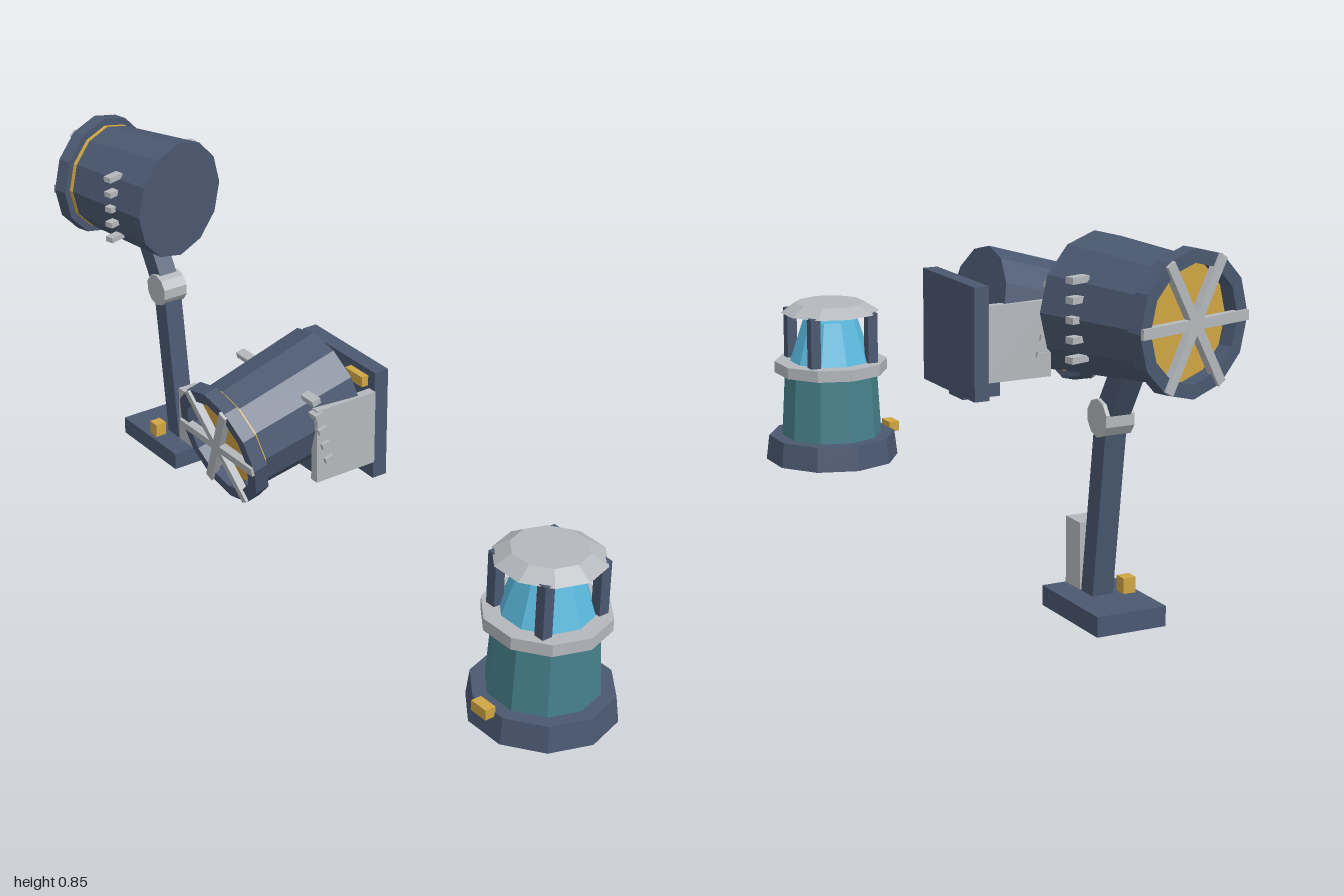
import * as THREE from 'three';

const mat = (color) => new THREE.MeshStandardMaterial({ color, flatShading: true });
const DARK = mat(0x4a5870), GREY = mat(0xb4b8bc), GOLD = mat(0xd0a544);
const TEAL = mat(0x46808a), GLASS = mat(0x5ab8dc);

function add(parent, name, geometry, material, x = 0, y = 0, z = 0) {
  const mesh = new THREE.Mesh(geometry, material);
  mesh.name = name;
  mesh.position.set(x, y, z);
  parent.add(mesh);
  return mesh;
}

function box(parent, name, material, w, h, d, x, y, z) {
  return add(parent, name, new THREE.BoxGeometry(w, h, d), material, x, y, z);
}

// Square ring around the y axis, from y0 to y1
function ringGeometry(inner, outer, y0, y1, sides) {
  const points = [[inner, y0], [outer, y0], [outer, y1], [inner, y1], [inner, y0]];
  return new THREE.LatheGeometry(points.map(([r, y]) => new THREE.Vector2(r, y)), sides);
}

// Lamp head: axis along z, front face at z = 0, 12-sided
function lampHead(rFront, rBack, rRing, length) {
  const head = new THREE.Group();
  head.name = 'lampHead';
  const ringDepth = 0.035, lensDepth = 0.01;
  const drumLength = length - ringDepth - lensDepth;
  add(head, 'drum', new THREE.CylinderGeometry(rFront, rBack, drumLength, 12).rotateX(Math.PI / 2),
    DARK, 0, 0, -length + drumLength / 2);
  add(head, 'lens', new THREE.CylinderGeometry(rFront + 0.001, rFront + 0.001, lensDepth, 12).rotateX(Math.PI / 2),
    GOLD, 0, 0, -ringDepth - lensDepth / 2);
  add(head, 'frontRing', ringGeometry(rRing - 0.03, rRing, -ringDepth, 0, 12).rotateX(Math.PI / 2), DARK);
  // Three crossing guard bars
  for (let i = 0; i < 3; i++) {
    const bar = box(head, 'guardBar', GREY, rRing * 1.96, 0.022, 0.018, 0, 0, -0.002);
    bar.rotation.z = i * Math.PI / 3;
  }
  // Vent slats on both sides
  for (const side of [-1, 1]) {
    for (let i = -2; i <= 2; i++) {
      box(head, 'ventSlat', GREY, 0.045, 0.014, 0.022, side * (rBack - 0.013), i * 0.041, -0.193);
    }
  }
  return head;
}

// Straight square arm between two points in the xy plane
function arm(parent, name, x0, y0, x1, y1, z, width) {
  const length = Math.hypot(x1 - x0, y1 - y0);
  const mesh = box(parent, name, DARK, width, length, 0.05, (x0 + x1) / 2, (y0 + y1) / 2, z);
  mesh.rotation.z = -Math.atan2(x1 - x0, y1 - y0);
}

function standLamp() {
  const lamp = new THREE.Group();
  lamp.name = 'standLamp';
  const z = -0.122;
  box(lamp, 'basePlate', DARK, 0.245, 0.045, 0.166, -0.667, 0.0225, z);
  arm(lamp, 'lowerArm', -0.638, 0.04, -0.693, 0.445, z, 0.05);
  arm(lamp, 'upperArm', -0.693, 0.445, -0.775, 0.58, z, 0.055);
  add(lamp, 'elbowJoint', new THREE.CylinderGeometry(0.042, 0.042, 0.068, 10).rotateX(Math.PI / 2), GREY, -0.693, 0.447, z);
  box(lamp, 'powerBox', GREY, 0.064, 0.15, 0.052, -0.577, 0.12, z);
  box(lamp, 'switch', GOLD, 0.03, 0.04, 0.03, -0.665, 0.06, -0.065);
  const head = lampHead(0.136, 0.1535, 0.155, 0.29);
  head.position.set(-0.955, 0.69, -0.08);
  head.rotation.y = -THREE.MathUtils.degToRad(75);
  lamp.add(head);
  return lamp;
}

function wallLamp() {
  const lamp = new THREE.Group();
  lamp.name = 'wallLamp';
  const x = 0.105;
  box(lamp, 'wallPlate', DARK, 0.28, 0.275, 0.038, x, 0.47, -0.097);
  for (const side of [-1, 1]) {
    box(lamp, 'sideBracket', GREY, 0.022, 0.185, 0.165, x + side * 0.131, 0.468, 0.003);
  }
  box(lamp, 'lowerMount', DARK, 0.075, 0.055, 0.1, x, 0.342, -0.047);
  box(lamp, 'label', GOLD, 0.065, 0.025, 0.018, 0.188, 0.579, -0.069);
  const head = lampHead(0.1285, 0.141, 0.147, 0.311);
  head.position.set(x, 0.465, 0.262);
  head.rotation.x = THREE.MathUtils.degToRad(13.6);
  lamp.add(head);
  return lamp;
}

function lantern() {
  const lamp = new THREE.Group();
  lamp.name = 'lantern';
  lamp.position.set(0.823, 0, -0.117);
  // Ten-sided tapered tiers: name, material, bottom radius, top radius, bottom y, top y
  const tiers = [
    ['base', DARK, 0.175, 0.167, 0, 0.065],
    ['body', TEAL, 0.132, 0.122, 0.065, 0.24],
    ['collar', GREY, 0.149, 0.149, 0.235, 0.265],
    ['glass', GLASS, 0.108, 0.072, 0.265, 0.375],
    ['roof', GREY, 0.13, 0.09, 0.395, 0.42],
  ];
  for (const [name, material, r0, r1, y0, y1] of tiers) {
    const tier = add(lamp, name, new THREE.CylinderGeometry(r1, r0, y1 - y0, 10), material, 0, (y0 + y1) / 2, 0);
    tier.rotation.y = Math.PI / 2;
  }
  for (const sx of [-1, 1]) {
    for (const sz of [-1, 1]) {
      box(lamp, 'post', DARK, 0.027, 0.136, 0.027, sx * 0.081, 0.33, sz * 0.081);
    }
  }
  box(lamp, 'latch', GOLD, 0.05, 0.026, 0.028, 0, 0.067, 0.171);
  return lamp;
}

export function createModel() {
  const model = new THREE.Group();
  model.name = 'lampSet';
  model.add(standLamp(), wallLamp(), lantern());
  return model;
}
